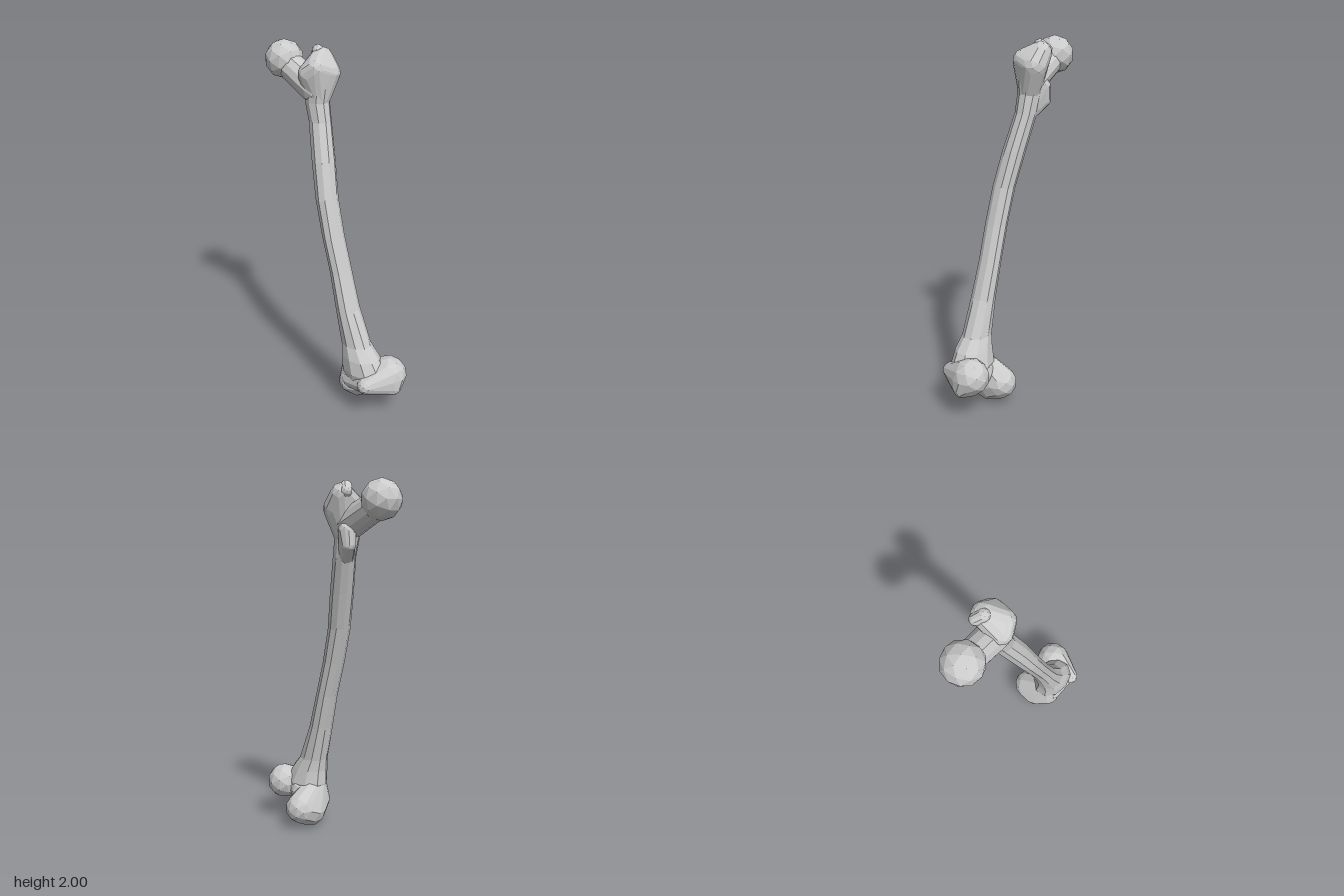
import * as THREE from 'three';
import { ConvexGeometry } from 'three/addons/geometries/ConvexGeometry.js';

const material = new THREE.MeshStandardMaterial({ color: 0xcccccc, flatShading: true });

// Faceted lump: the convex hull around a few low-poly balls [x, y, z, radius]
function lump(name, balls) {
  const points = [];
  for (const [x, y, z, r] of balls) {
    const p = new THREE.IcosahedronGeometry(r * 1.03, 1).attributes.position;
    for (let i = 0; i < p.count; i++) {
      points.push(new THREE.Vector3(x, y, z).add(new THREE.Vector3().fromBufferAttribute(p, i)));
    }
  }
  const mesh = new THREE.Mesh(new ConvexGeometry(points), material);
  mesh.name = name;
  return mesh;
}

// Shaft: a cylinder whose rows are fitted to sections [y, xMin, xMax, zMin, zMax]
function makeShaft() {
  const sections = [
    [1.78, -0.22, -0.07, -0.11, 0.03],
    [1.7, -0.22, -0.08, -0.1, 0.03],
    [1.6, -0.19, -0.06, -0.09, 0.03],
    [1.4, -0.13, 0.0, -0.06, 0.07],
    [1.2, -0.07, 0.05, -0.03, 0.1],
    [1.0, -0.01, 0.105, -0.02, 0.11],
    [0.8, 0.05, 0.165, -0.02, 0.11],
    [0.6, 0.1, 0.23, -0.02, 0.12],
    [0.4, 0.14, 0.32, -0.03, 0.125],
    [0.33, 0.145, 0.38, -0.05, 0.14],
    [0.25, 0.14, 0.43, -0.07, 0.145],
    [0.16, 0.16, 0.4, -0.06, 0.12],
  ];
  const rows = sections.length - 1;
  const geometry = new THREE.CylinderGeometry(1, 1, 1, 10, rows);
  const p = geometry.attributes.position;
  for (let i = 0; i < p.count; i++) {
    const [y, x0, x1, z0, z1] = sections[Math.round((0.5 - p.getY(i)) * rows)];
    p.setXYZ(i,
      (x0 + x1) / 2 + p.getX(i) * (x1 - x0) / 2,
      y,
      (z0 + z1) / 2 + p.getZ(i) * (z1 - z0) / 2);
  }
  geometry.computeVertexNormals();
  const mesh = new THREE.Mesh(geometry, material);
  mesh.name = 'shaft';
  return mesh;
}

export function createModel() {
  const model = new THREE.Group();
  model.name = 'thighBone';

  model.add(makeShaft());

  // Upper end: ball of the hip joint, its neck and the bony knobs
  model.add(lump('head', [[-0.4, 1.893, -0.03, 0.104]]));
  model.add(lump('neck', [[-0.37, 1.87, -0.03, 0.073], [-0.17, 1.77, -0.035, 0.08]]));
  model.add(lump('greaterTrochanter', [
    [-0.17, 1.92, -0.09, 0.06],
    [-0.12, 1.85, -0.08, 0.07],
    [-0.13, 1.88, -0.01, 0.06],
    [-0.17, 1.85, 0.005, 0.06],
    [-0.14, 1.72, -0.04, 0.06],
  ]));
  model.add(lump('trochanterTip', [[-0.185, 1.96, -0.075, 0.032], [-0.215, 1.935, -0.1, 0.03]]));
  model.add(lump('lesserTrochanter', [
    [-0.215, 1.665, -0.085, 0.038],
    [-0.2, 1.74, -0.08, 0.048],
    [-0.15, 1.6, -0.04, 0.04],
  ]));

  // Lower end: two rounded condyles joined by the groove for the kneecap
  model.add(lump('innerCondyle', [
    [0.19, 0.125, -0.083, 0.09],
    [0.19, 0.1, -0.02, 0.094],
    [0.205, 0.14, 0.06, 0.068],
    [0.21, 0.24, 0.05, 0.06],
  ]));
  model.add(lump('outerCondyle', [
    [0.4, 0.23, -0.04, 0.1],
    [0.45, 0.175, -0.02, 0.048],
    [0.37, 0.21, 0.122, 0.046],
  ]));
  model.add(lump('kneecapGroove', [
    [0.22, 0.17, 0.07, 0.06],
    [0.35, 0.2, 0.08, 0.065],
    [0.27, 0.2, 0.0, 0.08],
  ]));

  return model;
}
